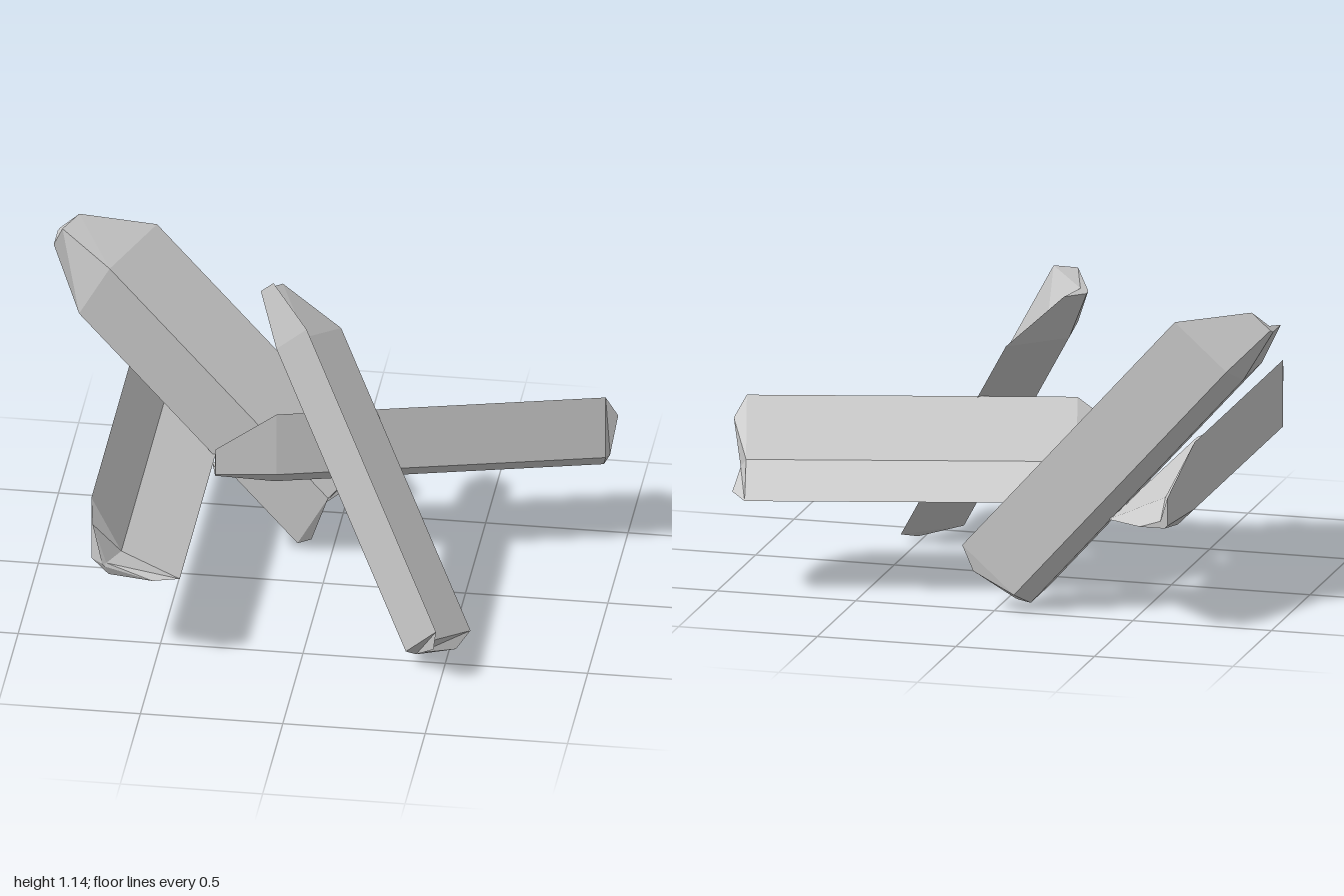
import * as THREE from 'three';

// Cross-sections of one angle-profile shard as [u, v, s]: s runs along its length.
// Order: wall edge, two chamfer corners, floor edge, inner corner.
const profile = [[0, 0.30], [0, 0.06], [0.06, 0], [0.31, 0], [0.105, 0.095]];
const at = (s) => profile.map(([u, v]) => [u, v, s]);
const rings = [
  // narrow tip
  [[0.04, 0.15, 0], [0.04, 0.05, 0], [0.05, 0.04, 0], [0.14, 0.04, 0], [0.065, 0.065, 0]],
  // straight body
  at(0.21),
  at(1.36),
  // faceted blunt end
  [[0.01, 0.22, 1.405], [0.04, 0.05, 1.38], [0.05, 0.04, 1.38], [0.22, 0.01, 1.405], [0.055, 0.055, 1.38]],
];

function shardGeometry() {
  const n = profile.length;
  const index = [];
  for (let i = 0; i < rings.length - 1; i++) {
    for (let j = 0; j < n; j++) {
      const a = i * n + j, b = i * n + ((j + 1) % n);
      index.push(a, b, b + n, a, b + n, a + n);
    }
  }
  // end caps fan out from the inner corner
  const last = (rings.length - 1) * n;
  for (let j = 0; j < n - 2; j++) {
    index.push(n - 1, j + 1, j);
    index.push(last + n - 1, last + j, last + j + 1);
  }
  const geometry = new THREE.BufferGeometry();
  geometry.setAttribute('position', new THREE.Float32BufferAttribute(rings.flat(2), 3));
  geometry.setIndex(index);
  const flat = geometry.toNonIndexed();
  flat.computeVertexNormals();
  return flat;
}

// Placement of each shard: tip corner, length direction, wall direction
const shards = [
  { name: 'lyingShardLengthwise', tip: [-0.72, 0.36, -0.70], along: [0, 0, 1], wall: [0, 1, 0] },
  { name: 'lyingShardCrosswise', tip: [-0.368, 0.36, 0.041], along: [0.97, 0, -0.243], wall: [0, 1, 0] },
  { name: 'leaningShardBack', tip: [-1.028, 1.045, -0.52], along: [0.667, -0.745, 0], wall: [0, 0, 1] },
  { name: 'leaningShardFront', tip: [-0.292, 1.045, -0.132], along: [0.463, -0.745, 0.48], wall: [0.517, 0.667, 0.536] },
];

export function createModel() {
  const group = new THREE.Group();
  group.name = 'shardPile';
  const geometry = shardGeometry();
  const material = new THREE.MeshStandardMaterial({ color: 0xcccccc, flatShading: true });
  for (const { name, tip, along, wall } of shards) {
    const s = new THREE.Vector3(...along).normalize();
    const u = new THREE.Vector3(...wall).cross(s).normalize();
    const v = s.clone().cross(u);
    const mesh = new THREE.Mesh(geometry, material);
    mesh.name = name;
    mesh.quaternion.setFromRotationMatrix(new THREE.Matrix4().makeBasis(u, v, s));
    mesh.position.set(...tip);
    group.add(mesh);
  }
  return group;
}
